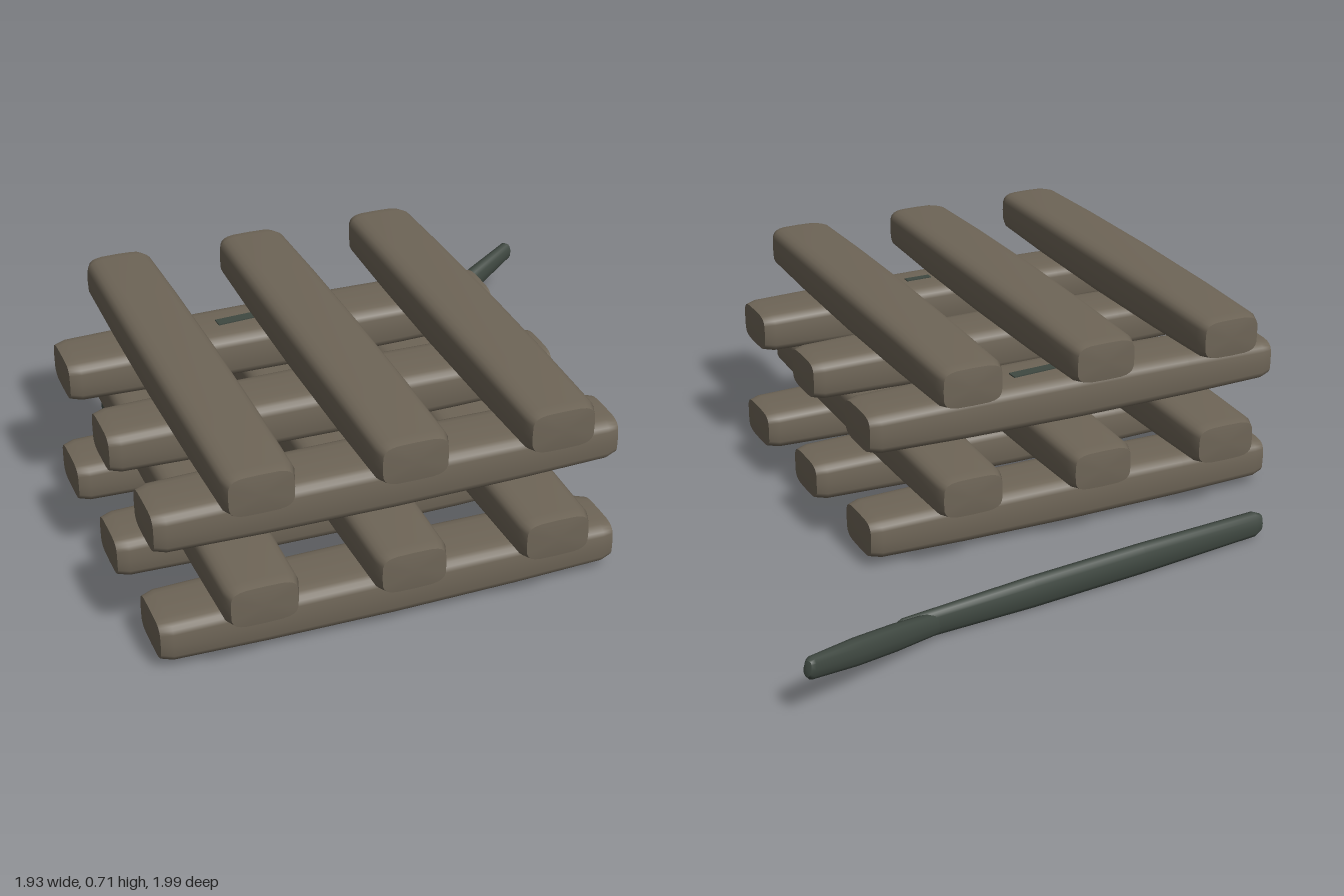
import * as THREE from 'three';

const wood = new THREE.MeshStandardMaterial({ color: 0x6e6557 });
wood.name = 'weathered wood';
const bark = new THREE.MeshStandardMaterial({ color: 0x3f4841 });
bark.name = 'dark bark';

// Lofted bar along z: stations are [position -1..1, width scale, height scale]
function loft(length, width, height, stations, power, sides, dome) {
  const pos = [], index = [];
  const ring = ([t, sw, sh]) => {
    for (let i = 0; i < sides; i++) {
      const a = (i / sides) * Math.PI * 2;
      const c = Math.cos(a), s = Math.sin(a);
      pos.push(
        Math.sign(c) * Math.abs(c) ** power * sw * width / 2,
        Math.sign(s) * Math.abs(s) ** power * sh * height / 2,
        t * length / 2);
    }
  };
  stations.forEach(ring);
  for (let j = 0; j < stations.length - 1; j++) {
    for (let i = 0; i < sides; i++) {
      const k = (i + 1) % sides;
      const a = j * sides + i, b = j * sides + k;
      index.push(a, b, b + sides, a, b + sides, a + sides);
    }
  }
  // End caps with their own vertices, so the rim stays crisp
  for (const end of [0, 1]) {
    const st = end ? stations[stations.length - 1] : stations[0];
    const base = pos.length / 3;
    ring(st);
    const centre = pos.length / 3;
    pos.push(0, 0, st[0] * length / 2 + (end ? dome : -dome));
    for (let i = 0; i < sides; i++) {
      const a = base + i, b = base + (i + 1) % sides;
      if (end) index.push(centre, a, b);
      else index.push(centre, b, a);
    }
  }
  const geo = new THREE.BufferGeometry();
  geo.setAttribute('position', new THREE.Float32BufferAttribute(pos, 3));
  geo.setIndex(index);
  geo.computeVertexNormals();
  return geo;
}

const beamStations = [
  [-1, 0.84, 0.78], [-0.95, 0.95, 0.87], [-0.55, 0.98, 0.96], [0, 1, 1],
  [0.55, 0.98, 0.96], [0.95, 0.95, 0.87], [1, 0.84, 0.78],
];
const stickStations = [
  [-1, 0.6, 0.6], [-0.96, 0.85, 0.85], [-0.3, 1, 1],
  [0.3, 1, 1], [0.96, 0.75, 0.8], [1, 0.5, 0.55],
];

// Oval stick running between two points
function stick(name, from, to, width, height) {
  const a = new THREE.Vector3(...from), b = new THREE.Vector3(...to);
  const mesh = new THREE.Mesh(
    loft(a.distanceTo(b), width, height, stickStations, 0.8, 12, 0.005), bark);
  mesh.name = name;
  mesh.position.copy(a).add(b).multiplyScalar(0.5);
  mesh.lookAt(b);
  return mesh;
}

export function createModel() {
  const model = new THREE.Group();
  model.name = 'logStack';

  // Four crossed layers of three beams
  const layers = [
    { y: 0.093, alongX: true, at: [0.73, 0.285, -0.165], w: [0.24, 0.23, 0.235] },
    { y: 0.273, alongX: false, at: [-0.695, -0.25, 0.197], w: [0.235, 0.232, 0.234] },
    { y: 0.453, alongX: true, at: [0.725, 0.278, -0.175], w: [0.23, 0.225, 0.235] },
    { y: 0.634, alongX: false, at: [-0.695, -0.25, 0.198], w: [0.225, 0.233, 0.23] },
  ];
  layers.forEach(({ y, alongX, at, w }, n) => {
    const layer = new THREE.Group();
    layer.name = `beamLayer${n + 1}`;
    at.forEach((p, i) => {
      const beam = new THREE.Mesh(
        loft(1.42, w[i], 0.156, beamStations, 0.47, 24, 0.007), wood);
      beam.name = `beam${i + 1}`;
      if (alongX) {
        beam.rotation.y = Math.PI / 2;
        beam.position.set(-0.245, y, p);
      } else {
        beam.position.set(p, y, 0.277);
      }
      layer.add(beam);
    });
    model.add(layer);
  });

  // Forked stick lying behind the stack
  const branch = new THREE.Group();
  branch.name = 'forkedStick';
  branch.add(
    stick('mainStick', [-0.735, 0.053, -0.59], [0.59, 0.053, -0.735], 0.058, 0.1),
    stick('sideTwig', [0.45, 0.045, -0.715], [0.955, 0.167, -0.985], 0.056, 0.082));
  model.add(branch);

  // Dark streaks on the third layer's upper faces
  const streaks = [[-0.25, -0.178, 0.4, 0.035, 0.06], [-0.14, 0.722, 0.09, 0.024, 0]];
  streaks.forEach(([x, z, length, width, turn], i) => {
    const streak = new THREE.Mesh(new THREE.BoxGeometry(length, 0.006, width), bark);
    streak.name = `darkStreak${i + 1}`;
    streak.position.set(x, 0.53, z);
    streak.rotation.y = turn;
    model.add(streak);
  });

  return model;
}
